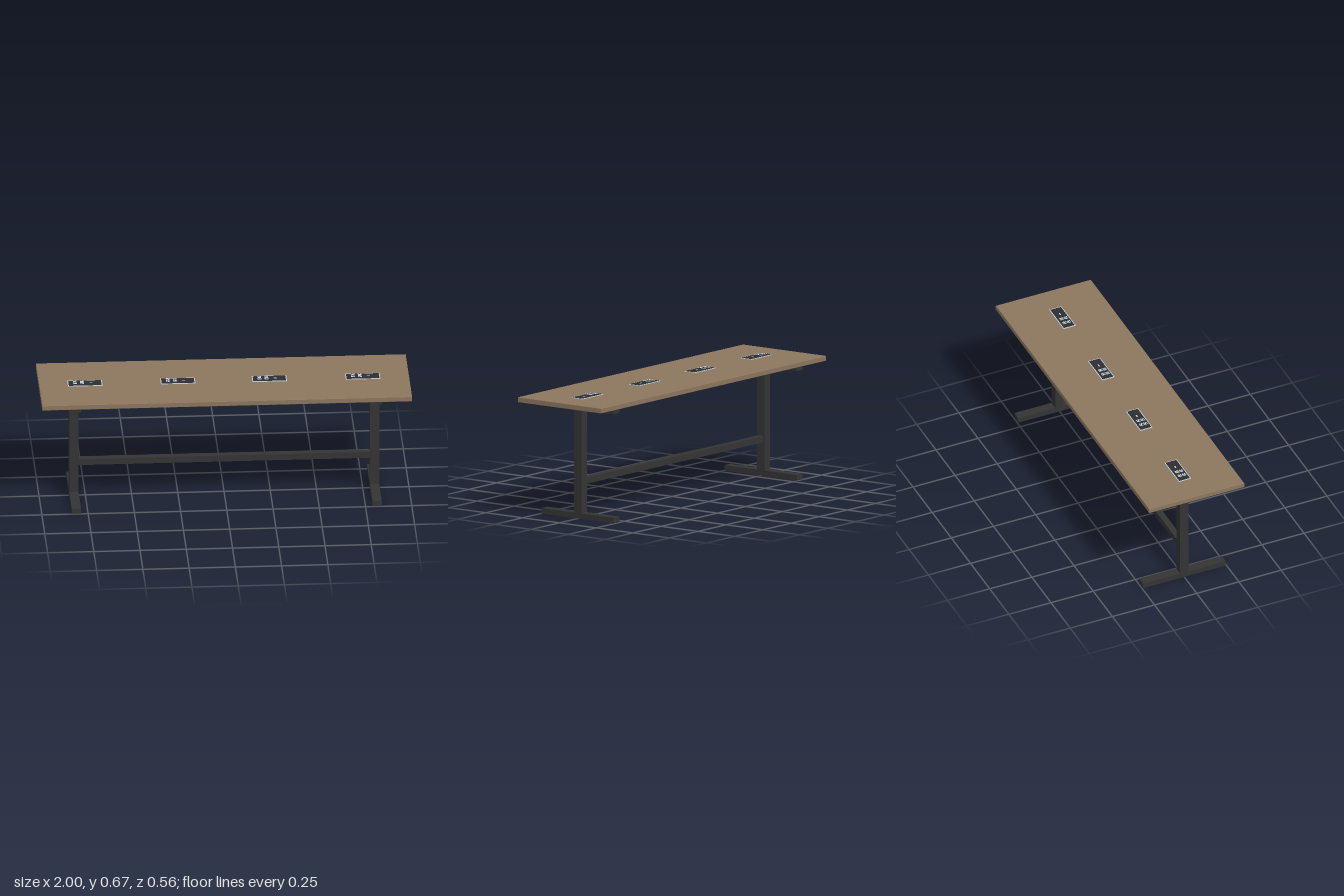
import * as THREE from 'three';

export function createModel() {
  const model = new THREE.Group();
  model.name = 'communalTable';

  const mat = (name, color) => {
    const m = new THREE.MeshStandardMaterial({ color });
    m.name = name;
    return m;
  };
  const wood = mat('wood', 0x8c765e);
  const steel = mat('blackSteel', 0x343434);
  const trim = mat('paleTrim', 0xc4ced6);
  const panel = mat('darkPanel', 0x2b2d32);

  const box = (parent, name, material, size, pos) => {
    const mesh = new THREE.Mesh(new THREE.BoxGeometry(...size), material);
    mesh.name = name;
    mesh.position.set(...pos);
    parent.add(mesh);
    return mesh;
  };

  // Table top with slightly eased edges
  const ease = 0.002, w = 1 - ease, d = 0.282 - ease;
  const outline = new THREE.Shape([[-w, -d], [w, -d], [w, d], [-w, d]]
    .map(([x, y]) => new THREE.Vector2(x, y)));
  const topGeometry = new THREE.ExtrudeGeometry(outline, {
    depth: 0.028 - 2 * ease, bevelThickness: ease, bevelSize: ease, bevelSegments: 1,
  });
  topGeometry.rotateX(-Math.PI / 2);
  const top = new THREE.Mesh(topGeometry, wood);
  top.name = 'tableTop';
  top.position.y = 0.63 + ease;
  model.add(top);

  // I-shaped end frames: foot, post and top bearer
  for (const side of [-1, 1]) {
    const frame = new THREE.Group();
    frame.name = side > 0 ? 'leftLegFrame' : 'rightLegFrame';
    frame.position.x = side * 0.813;
    box(frame, 'foot', steel, [0.05, 0.031, 0.49], [0, 0.0155, 0]);
    box(frame, 'post', steel, [0.05, 0.568, 0.05], [0, 0.315, 0]);
    box(frame, 'bearer', steel, [0.05, 0.031, 0.49], [0, 0.6145, 0]);
    model.add(frame);
  }

  // Long rail between the posts
  box(model, 'stretcher', steel, [1.576, 0.035, 0.035], [0, 0.202, 0]);

  // Power units set along the middle of the top
  for (const x of [-0.752, -0.25, 0.245, 0.75]) {
    const unit = new THREE.Group();
    unit.name = 'powerUnit';
    unit.position.set(x, 0.658, 0);
    box(unit, 'bezel', trim, [0.187, 0.003, 0.073], [0, 0.0015, 0]);
    box(unit, 'facePlate', panel, [0.177, 0.002, 0.063], [0, 0.003, 0]);

    // Four raised sockets, each with two slots and an earth hole
    for (const sx of [-0.054, -0.016]) {
      for (const sz of [-0.0125, 0.0125]) {
        const socket = new THREE.Group();
        socket.name = 'socket';
        socket.position.set(sx, 0, sz);
        box(socket, 'socketStem', panel, [0.008, 0.005, 0.008], [0, 0.0065, 0]);
        box(socket, 'socketFace', trim, [0.02, 0.0015, 0.02], [0, 0.009, 0]);
        for (const s of [-1, 1]) {
          box(socket, 'slot', panel, [0.008, 0.0004, 0.003], [-0.003, 0.0099, s * 0.005]);
        }
        box(socket, 'earthHole', panel, [0.004, 0.0004, 0.004], [0.006, 0.0099, 0]);
        unit.add(socket);
      }
    }

    // Small charging port
    box(unit, 'chargingPort', trim, [0.016, 0.001, 0.007], [0.032, 0.0045, 0]);
    model.add(unit);
  }

  return model;
}
